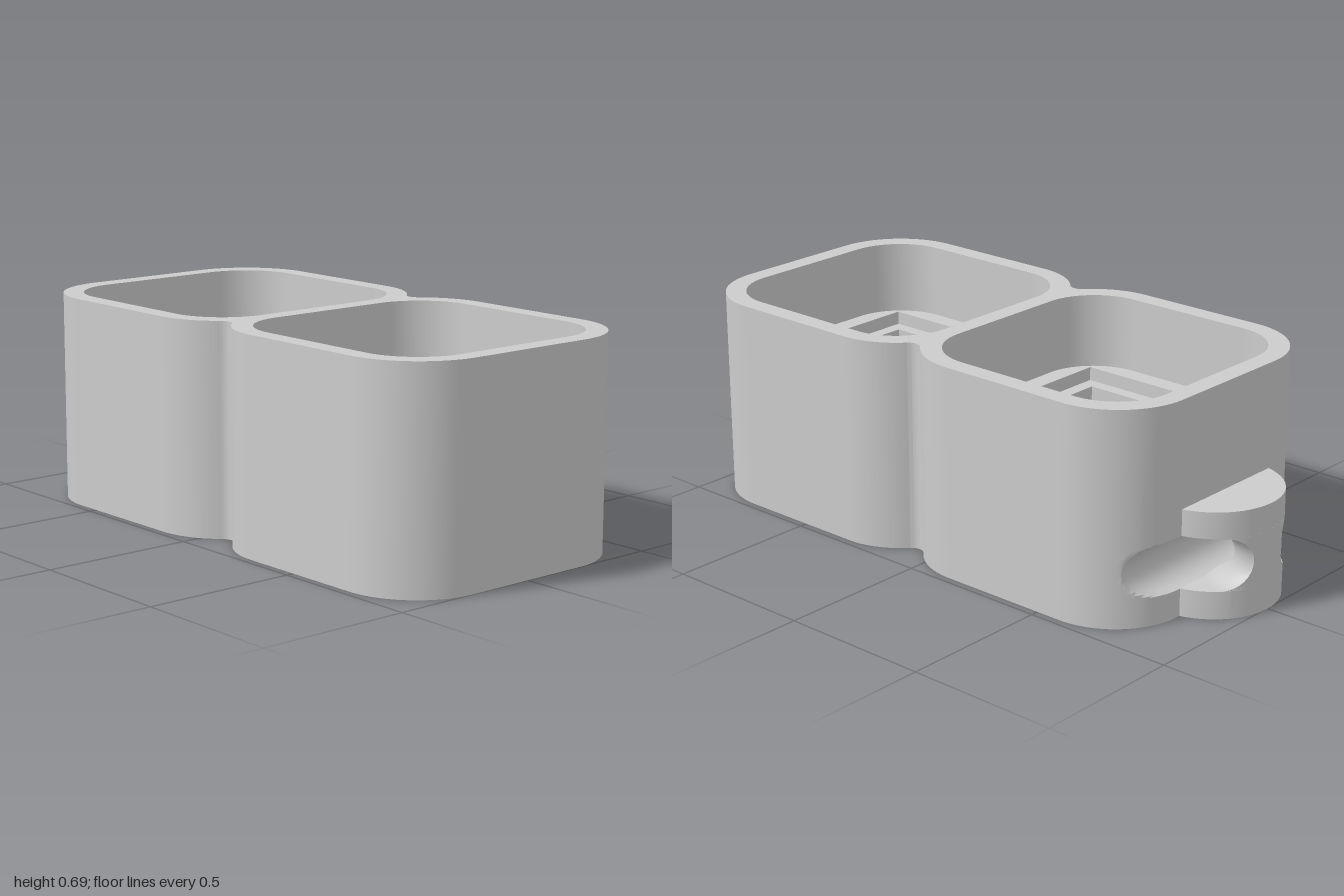
import * as THREE from 'three';
import { toCreasedNormals } from 'three/addons/utils/BufferGeometryUtils.js';

const PI = Math.PI;
const HEIGHT = 0.69, FLOOR = 0.445, LEDGE = 0.4, POCKET = 0.185, PIN_BOTTOM = 0.05;
const CELLS = [-0.36, 0.525]; // x of the two cell centres
const material = new THREE.MeshStandardMaterial({ color: 0xcccccc });

// Outlines are counter-clockwise lists of (x, z) points.
function roundedSquare(cx, half, r) {
  const s = new THREE.Shape(), k = half - r;
  [[-1, -1], [1, -1], [1, 1], [-1, 1]].forEach(([sx, sz], i) =>
    s.absarc(cx + sx * k, sz * k, r, PI + i * PI / 2, PI * 1.5 + i * PI / 2));
  return s.getPoints(14);
}
function square(cx, h) {
  return [[-h, -h], [h, -h], [h, h], [-h, h]].map(([x, z]) => new THREE.Vector2(cx + x, z));
}
function circle(cx, cz, r) {
  return Array.from({ length: 32 }, (_, i) =>
    new THREE.Vector2(cx + r * Math.cos(i * PI / 16), cz + r * Math.sin(i * PI / 16)));
}
// Two merged rounded squares with a small fillet in each waist.
function bodyOutline() {
  const s = new THREE.Shape(), r = 0.25, k = 0.225, f = 0.04;
  const mid = 0.0825, dx = 0.2175, dz = Math.sqrt((r + f) ** 2 - dx * dx), a = Math.atan2(dz, dx);
  s.absarc(-0.585, -k, r, PI, 1.5 * PI);
  s.absarc(mid - dx, -k, r, 1.5 * PI, 2 * PI - a);
  s.absarc(mid, -k - dz, f, PI - a, a, true);
  s.absarc(mid + dx, -k, r, PI + a, 1.5 * PI);
  s.absarc(0.75, -k, r, 1.5 * PI, 2 * PI);
  s.absarc(0.75, k, r, 0, PI / 2);
  s.absarc(mid + dx, k, r, PI / 2, PI - a);
  s.absarc(mid, k + dz, f, -a, a - PI, true);
  s.absarc(mid - dx, k, r, a, PI / 2);
  s.absarc(-0.585, k, r, PI / 2, PI);
  return s.getPoints(16);
}

// Skin through rows of { y, pts }; inward = true for the wall of a recess.
function loft(rows, inward = false) {
  const n = rows[0].pts.length, pos = [], idx = [];
  rows.forEach(({ y, pts }) => pts.forEach(p => pos.push(p.x, y, p.y)));
  for (let j = 0; j < rows.length - 1; j++) {
    for (let i = 0; i < n; i++) {
      const a = j * n + i, b = j * n + (i + 1) % n, c = b + n, d = a + n;
      if (inward) idx.push(a, b, d, b, c, d);
      else idx.push(a, d, b, b, d, c);
    }
  }
  const g = new THREE.BufferGeometry();
  g.setAttribute('position', new THREE.Float32BufferAttribute(pos, 3));
  g.setIndex(idx);
  return toCreasedNormals(g, 0.55);
}
// Flat horizontal face with holes.
function cap(pts, holes, y, up = true) {
  const s = new THREE.Shape(pts);
  s.holes = holes.map(h => new THREE.Path(h));
  const g = new THREE.ShapeGeometry(s).rotateX(PI / 2).translate(0, y, 0);
  if (up) {
    g.index.array.reverse();
    g.computeVertexNormals();
  }
  return g;
}

// Keyring channel: half-width w of its round section at each height.
const CH_Y = 0.175, CH_R = 0.085;
const channelRows = Array.from({ length: 17 }, (_, i) => {
  const t = i * PI / 16;
  return { y: CH_Y - CH_R * Math.cos(t), w: CH_R * Math.sin(t) };
});

// Lug cross-sections: a round plate, or the post left standing beside the channel.
const LUG_X = -0.78, LUG_R = 0.2225, POST_X = -0.962, N = 24;
function lugSection(w) {
  const solid = w === null, pts = [];
  const rp = solid ? 0 : 0.157 - w, d = LUG_X - POST_X;
  const a = (rp * rp - LUG_R * LUG_R + d * d) / (2 * d);
  const x = solid ? -0.8 : POST_X + a;
  const z = solid ? Math.sqrt(LUG_R ** 2 - 0.02 ** 2) : Math.sqrt(rp * rp - a * a);
  const phi = Math.atan2(z, x - LUG_X), theta = Math.atan2(z, x - POST_X);
  for (let i = 0; i <= N; i++) {
    const t = phi + (2 * PI - 2 * phi) * i / N;
    pts.push(new THREE.Vector2(LUG_X + LUG_R * Math.cos(t), LUG_R * Math.sin(t)));
  }
  for (let i = 1; i < N; i++) {
    const u = 2 * i / N - 1;
    pts.push(solid ? new THREE.Vector2(x, u * z)
      : new THREE.Vector2(POST_X + rp * Math.cos(u * theta), rp * Math.sin(u * theta)));
  }
  return pts;
}

export function createModel() {
  const model = new THREE.Group();
  const add = (parent, name, geometry) => {
    const m = new THREE.Mesh(geometry, material);
    m.name = name;
    parent.add(m);
  };

  // Outer body, its left end grooved by the channel
  const outline = bodyOutline();
  const grooved = w => outline.map(p => new THREE.Vector2(Math.max(p.x, -0.845 + w), p.y));
  add(model, 'outerWall', loft([
    { y: 0, pts: outline },
    ...channelRows.map(({ y, w }) => ({ y, pts: grooved(w) })),
    { y: HEIGHT, pts: outline },
  ]));
  add(model, 'base', cap(outline, CELLS.map(x => circle(x, 0, 0.088)), 0, false));
  add(model, 'topRim', cap(outline, CELLS.map(x => roundedSquare(x, 0.41, 0.19)), HEIGHT));

  // Stepped recess with pin holes in each cell
  CELLS.forEach((x, i) => {
    const cell = new THREE.Group();
    cell.name = i ? 'leftCell' : 'rightCell';
    const cavity = roundedSquare(x, 0.41, 0.19), step = square(x, 0.345), pocket = square(x, 0.3);
    const centreHole = circle(x, 0, 0.088);
    const pins = [[-0.215, 0, 0.055], [0.215, 0, 0.055], [-0.177, -0.125, 0.045], [0.128, -0.225, 0.045]]
      .map(([dx, z, r]) => circle(x + dx, z, r));
    const recess = (name, pts, y0, y1) => add(cell, name, loft([{ y: y0, pts }, { y: y1, pts }], true));
    recess('cavityWall', cavity, FLOOR, HEIGHT);
    add(cell, 'cavityFloor', cap(cavity, [step], FLOOR));
    recess('stepWall', step, LEDGE, FLOOR);
    add(cell, 'stepLedge', cap(step, [pocket], LEDGE));
    recess('pocketWall', pocket, POCKET, LEDGE);
    add(cell, 'pocketFloor', cap(pocket, [centreHole, ...pins], POCKET));
    recess('centreHole', centreHole, 0, POCKET);
    pins.forEach(p => {
      recess('pinHole', p, PIN_BOTTOM, POCKET);
      add(cell, 'pinHoleFloor', cap(p, [], PIN_BOTTOM));
    });
    model.add(cell);
  });

  // Keyring lug: two plates joined by a post
  const lug = new THREE.Group(), plate = lugSection(null);
  lug.name = 'keyringLug';
  add(lug, 'lugSide', loft([
    { y: 0, pts: plate },
    { y: CH_Y - CH_R, pts: plate },
    ...channelRows.map(({ y, w }) => ({ y, pts: lugSection(w) })),
    { y: CH_Y + CH_R, pts: plate },
    { y: 0.345, pts: plate },
  ]));
  add(lug, 'lugTop', cap(plate, [], 0.345));
  add(lug, 'lugBottom', cap(plate, [], 0, false));
  model.add(lug);
  return model;
}
